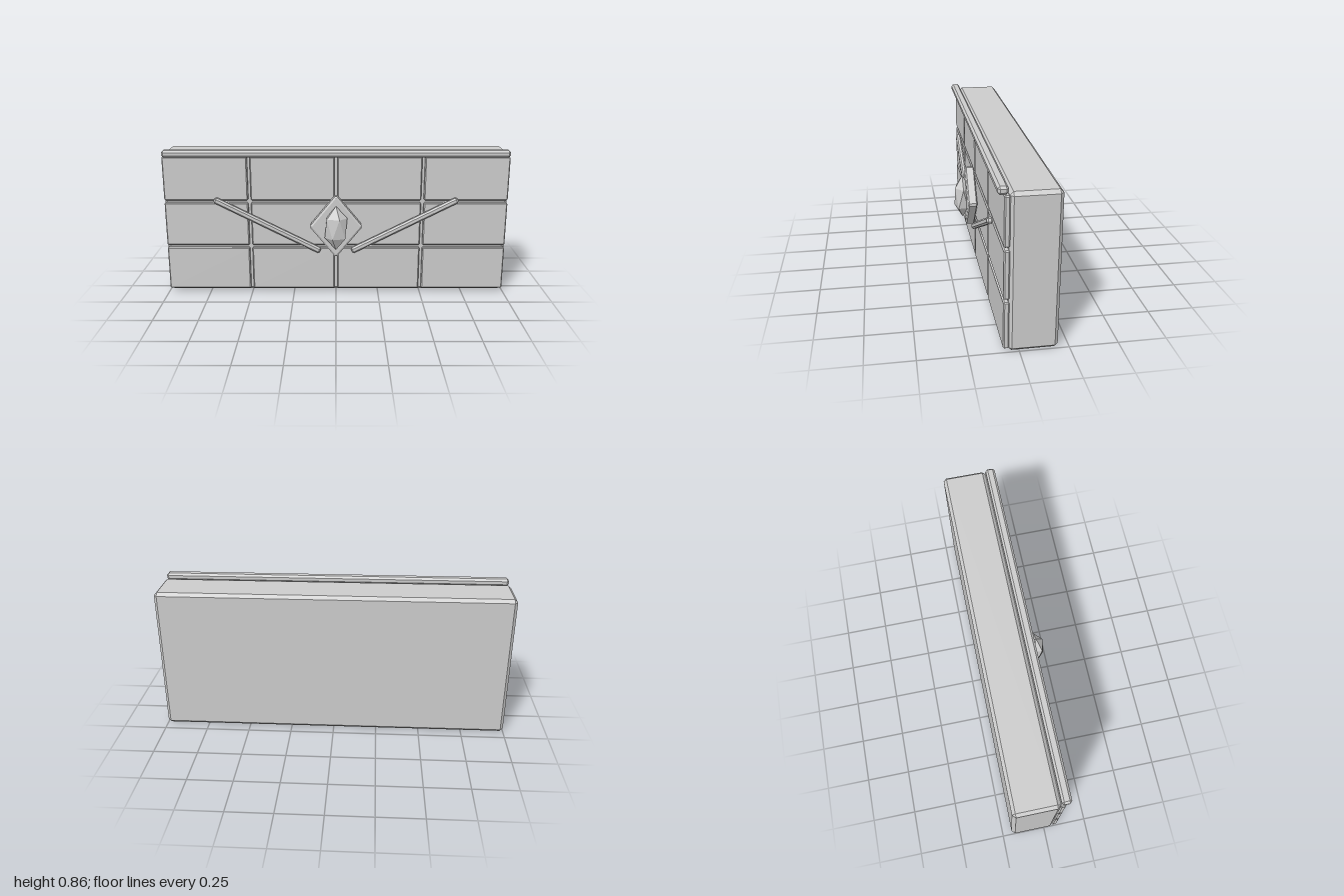
import * as THREE from 'three';
import { ConvexGeometry } from 'three/addons/geometries/ConvexGeometry.js';

// Box with bevelled edges; cx, cy, cz are the bevel sizes along each axis
function bevelBox(w, h, d, cx, cy = cx, cz = cx) {
  const pts = [];
  for (const sx of [-1, 1]) for (const sy of [-1, 1]) for (const sz of [-1, 1]) {
    const x = w / 2, y = h / 2, z = d / 2;
    pts.push(
      new THREE.Vector3(sx * x, sy * (y - cy), sz * (z - cz)),
      new THREE.Vector3(sx * (x - cx), sy * y, sz * (z - cz)),
      new THREE.Vector3(sx * (x - cx), sy * (y - cy), sz * z));
  }
  return new ConvexGeometry(pts);
}

// Twelve-point faceted stone standing on its tip
function gemGeometry(rx, ry, rz) {
  const pts = [new THREE.Vector3(0, ry, 0), new THREE.Vector3(0, -ry, 0)];
  const ring = 2 / Math.sqrt(5), level = 1 / Math.sqrt(5);
  for (let i = 0; i < 5; i++) {
    const a = i * Math.PI * 2 / 5;
    const x = Math.cos(a) * ring * rx, z = Math.sin(a) * ring * rz;
    pts.push(new THREE.Vector3(x, level * ry, z), new THREE.Vector3(-x, -level * ry, z));
  }
  return new ConvexGeometry(pts);
}

export function createModel() {
  const model = new THREE.Group();
  model.name = 'panelledWall';
  const stone = new THREE.MeshStandardMaterial({ color: 0xcccccc });
  stone.name = 'pale grey stone';

  const add = (name, geometry, x, y, z) => {
    const mesh = new THREE.Mesh(geometry, stone);
    mesh.name = name;
    mesh.position.set(x, y, z);
    model.add(mesh);
    return mesh;
  };

  // Main slab
  add('slab', bevelBox(2, 0.835, 0.25, 0.018), 0, 0.4175, -0.07);

  // Front tiles, three rows of four
  const tile = bevelBox(0.486, 0.257, 0.029, 0.006);
  for (let row = 0; row < 3; row++) {
    for (let col = 0; col < 4; col++) {
      add('tile', tile, (col - 1.5) * 0.502, 0.1465 + row * 0.2725, 0.0655);
    }
  }

  // Rail along the top front edge
  add('topRail', bevelBox(1.98, 0.042, 0.053, 0.012), 0, 0.841, 0.0835);

  // Slanted bars, mirrored
  const bar = bevelBox(0.684, 0.035, 0.032, 0.009);
  for (const side of [-1, 1]) {
    const mesh = add(side > 0 ? 'leftBar' : 'rightBar', bar, side * 0.397, 0.418, 0.099);
    mesh.rotation.z = side * THREE.MathUtils.degToRad(27);
  }

  // Diamond plate: a square turned on its corner and narrowed
  const diamond = bevelBox(0.266, 0.266, 0.054, 0.012, 0.012, 0.007);
  diamond.rotateZ(Math.PI / 4);
  diamond.scale(0.817, 1, 1);
  diamond.computeVertexNormals();
  add('diamondPlate', diamond, 0, 0.42, 0.111);

  // Faceted gem set in the plate
  add('gem', gemGeometry(0.073, 0.131, 0.053), 0, 0.419, 0.155);

  return model;
}
